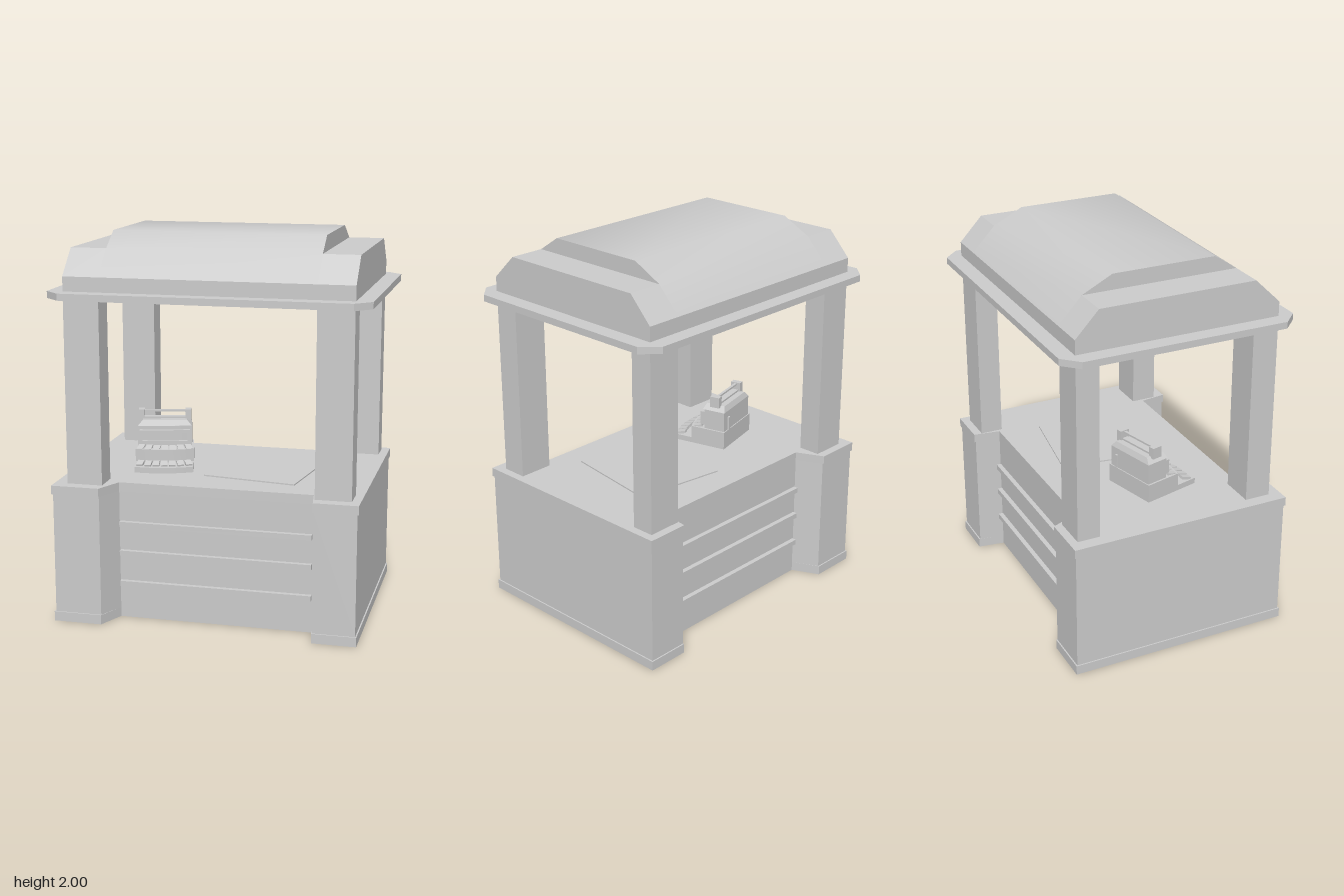
import * as THREE from 'three';
import { toCreasedNormals } from 'three/addons/utils/BufferGeometryUtils.js';

const material = new THREE.MeshStandardMaterial({ color: 0xcccccc });

function add(parent, name, geometry, x = 0, y = 0, z = 0) {
  const mesh = new THREE.Mesh(geometry, material);
  mesh.name = name;
  mesh.position.set(x, y, z);
  parent.add(mesh);
  return mesh;
}

// Box given by its limits on each axis
function box(parent, name, [x0, x1], [y0, y1], [z0, z1]) {
  return add(parent, name, new THREE.BoxGeometry(x1 - x0, y1 - y0, z1 - z0),
    (x0 + x1) / 2, (y0 + y1) / 2, (z0 + z1) / 2);
}

// Upright prism from a plan outline of [x, z] points
function prism(parent, name, points, y0, y1) {
  const shape = new THREE.Shape(points.map(([x, z]) => new THREE.Vector2(x, -z)));
  const geometry = new THREE.ExtrudeGeometry(shape, { depth: y1 - y0, bevelEnabled: false });
  geometry.rotateX(-Math.PI / 2);
  return add(parent, name, toCreasedNormals(geometry, 0.5), 0, y0, 0);
}

// Counter plan with a shallow recess in the front and the back
function counterPlan(grow) {
  const l = -0.795 - grow, r = 0.77 + grow, f = 0.595 + grow, b = -0.575 - grow;
  return [
    [l, f], [-0.55, f], [-0.485, 0.46], [0.53, 0.46], [0.55, f], [r, f],
    [r, b], [0.55, b], [0.53, -0.44], [-0.485, -0.44], [-0.55, b], [l, b],
  ];
}

function buildCounter() {
  const g = new THREE.Group();
  g.name = 'counter';
  prism(g, 'plinth', counterPlan(0.007), 0, 0.05);
  prism(g, 'counterBody', counterPlan(0), 0.05, 0.68);
  prism(g, 'counterTop', counterPlan(0.007), 0.68, 0.727);
  for (const y of [0.175, 0.34, 0.495]) {
    box(g, 'frontSlat', [-0.48, 0.525], [y, y + 0.028], [0.45, 0.485]);
    box(g, 'backSlat', [-0.48, 0.525], [y, y + 0.028], [-0.465, -0.43]);
  }
  const mat = add(g, 'counterMat', new THREE.BoxGeometry(0.5, 0.008, 0.54), 0.195, 0.73, 0.01);
  mat.rotation.y = -0.15;
  return g;
}

function buildCanopy() {
  const g = new THREE.Group();
  g.name = 'canopy';
  // Eaves board with cut corners
  const x = 0.818, z = 0.622, c = 0.082;
  prism(g, 'eaves', [
    [-x, z - c], [-x + c, z], [x - c, z], [x, z - c],
    [x, -z + c], [x - c, -z], [-x + c, -z], [-x, -z + c],
  ], 1.68, 1.715);
  // Roof sections extruded along x from a [z, y] profile
  const roof = (name, profile, x0, x1) => {
    const shape = new THREE.Shape(profile.map(([pz, py]) => new THREE.Vector2(-pz, py)));
    const geometry = new THREE.ExtrudeGeometry(shape, { depth: x1 - x0, bevelEnabled: false });
    geometry.rotateY(Math.PI / 2);
    add(g, name, toCreasedNormals(geometry, 0.62), x0, 0, 0);
  };
  const low = [[0.54, 1.715], [0.54, 1.79], [0.405, 1.92]];
  const lowBack = [[-0.418, 1.92], [-0.54, 1.79], [-0.54, 1.715]];
  roof('roofMiddle', [...low, [0.285, 2], [-0.26, 2], ...lowBack], -0.548, 0.548);
  roof('roofEnd', [...low, ...lowBack], -0.735, -0.548);
  roof('roofEnd', [...low, ...lowBack], 0.548, 0.735);
  return g;
}

// Plan with straight sides and a gently bowed front
function bowedPlan(half, back, front, bow) {
  const points = [[half, back], [-half, back]];
  for (let i = 0; i <= 8; i++) {
    const t = -1 + i / 4;
    points.push([half * t, front - bow * t * t]);
  }
  return points;
}

function buildRegister() {
  const g = new THREE.Group();
  g.name = 'cashRegister';
  prism(g, 'tray', bowedPlan(0.155, 0.05, 0.25, 0.025), 0.727, 0.757);
  prism(g, 'lowerBody', bowedPlan(0.155, -0.095, 0.135, 0.03), 0.727, 0.825);
  prism(g, 'upperBody', bowedPlan(0.145, -0.09, 0.045, 0.015), 0.825, 0.935);

  // Sloping cap
  const cap = new THREE.CylinderGeometry(0.82 * Math.SQRT1_2, Math.SQRT1_2, 0.03, 4, 1);
  cap.rotateY(Math.PI / 4);
  cap.scale(0.29, 1, 0.13);
  add(g, 'cap', cap.toNonIndexed(), 0, 0.95, -0.025).geometry.computeVertexNormals();

  // Two rows of keys following the bowed fronts
  for (const [name, y, front, bow] of [['lowerKey', 0.765, 0.2, 0.025], ['upperKey', 0.825, 0.1, 0.03]]) {
    for (let i = 0; i < 7; i++) {
      const t = (i - 3) / 3.5;
      const key = add(g, name, new THREE.BoxGeometry(0.034, 0.014, 0.05),
        0.148 * t, y, front - bow * t * t);
      key.rotation.set(0.25, t * 0.25, 0, 'YXZ');
    }
  }

  // Window frame on the upper body
  box(g, 'windowFrame', [-0.135, 0.135], [0.9, 0.915], [0.02, 0.06]);
  box(g, 'windowFrame', [-0.135, 0.135], [0.84, 0.855], [0.02, 0.06]);
  for (const s of [-1, 1]) {
    box(g, 'windowFrame', s < 0 ? [-0.135, -0.12] : [0.12, 0.135], [0.855, 0.9], [0.02, 0.06]);
    // Posts and rails of the top display
    const px = s * 0.125;
    box(g, 'displayPost', [px - 0.016, px + 0.016], [0.955, 1.015], [-0.055, 0.0]);
  }
  box(g, 'displayRail', [-0.125, 0.125], [1.0, 1.01], [-0.035, -0.02]);
  box(g, 'displaySill', [-0.125, 0.125], [0.96, 0.975], [-0.045, -0.01]);
  box(g, 'backLatch', [0.09, 0.105], [0.83, 0.9], [-0.1, -0.085]);

  g.position.set(-0.37, 0, 0);
  g.rotation.y = 0.25;
  return g;
}

export function createModel() {
  const model = new THREE.Group();
  model.name = 'marketStall';
  model.add(buildCounter(), buildCanopy(), buildRegister());
  for (const xs of [[-0.735, -0.55], [0.548, 0.733]]) {
    box(model, 'frontPost', xs, [0.72, 1.69], [0.405, 0.54]);
    box(model, 'backPost', xs, [0.72, 1.69], [-0.538, -0.418]);
  }
  return model;
}
